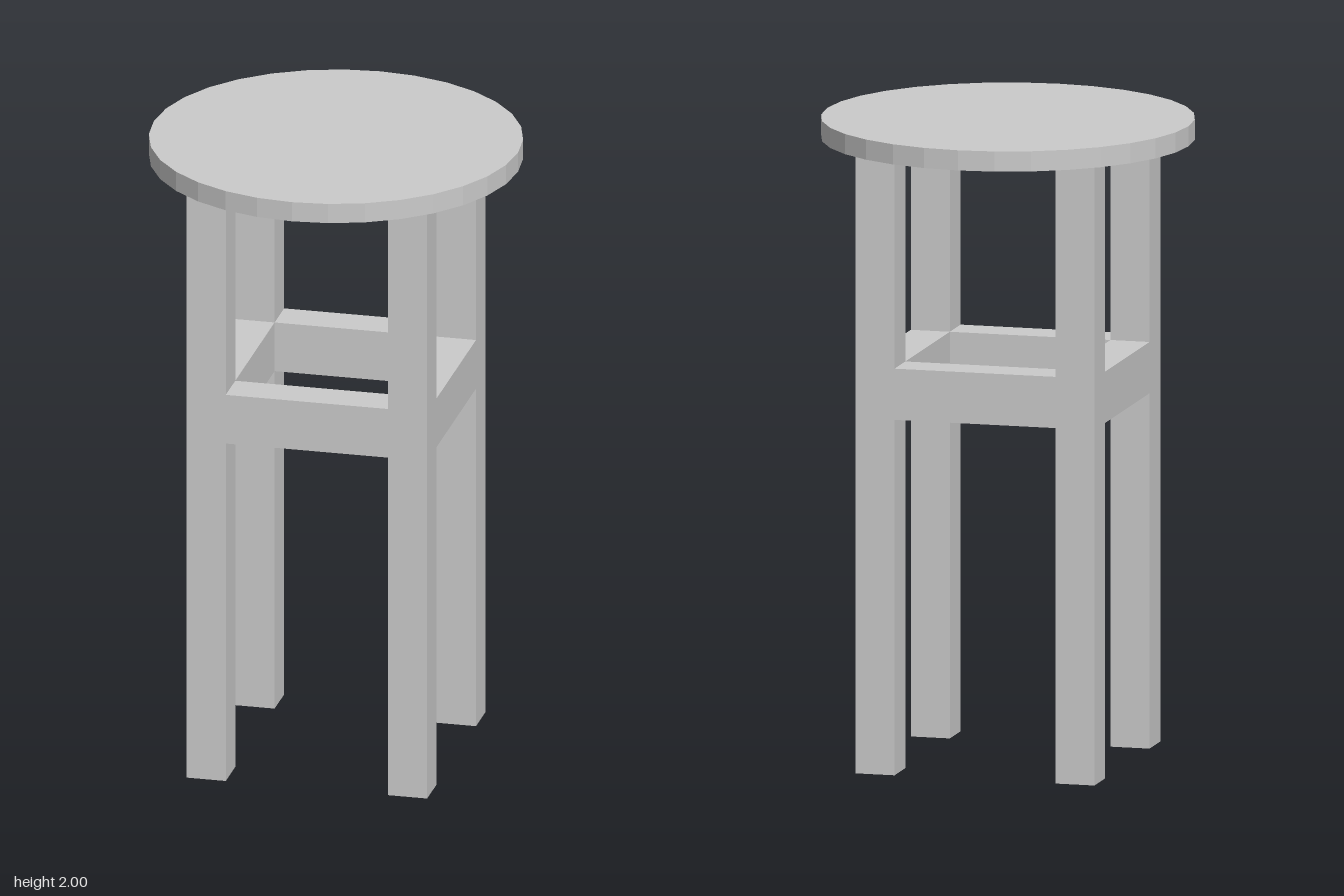
import * as THREE from 'three';

const SEAT_RADIUS = 0.575, SEAT_BOTTOM = 1.937, HEIGHT = 2;
const LEG = 0.124, LEG_POS = 0.318; // leg thickness and centre offset
const RAIL_BOTTOM = 1.11, RAIL_TOP = 1.27;

export function createModel() {
  const group = new THREE.Group();
  const material = new THREE.MeshStandardMaterial({ color: 0xcccccc, flatShading: true });

  const add = (name, geometry, x, y, z) => {
    const mesh = new THREE.Mesh(geometry, material);
    mesh.name = name;
    mesh.position.set(x, y, z);
    group.add(mesh);
    return mesh;
  };

  // Round faceted seat
  const seatHeight = HEIGHT - SEAT_BOTTOM;
  add('seat', new THREE.CylinderGeometry(SEAT_RADIUS, SEAT_RADIUS, seatHeight, 32),
    0, SEAT_BOTTOM + seatHeight / 2, 0);

  // Four square legs
  const legGeometry = new THREE.BoxGeometry(LEG, SEAT_BOTTOM, LEG);
  for (const [zName, sz] of [['front', 1], ['back', -1]]) {
    for (const [xName, sx] of [['Left', 1], ['Right', -1]]) {
      add(`${zName}${xName}Leg`, legGeometry, sx * LEG_POS, SEAT_BOTTOM / 2, sz * LEG_POS);
    }
  }

  // Four rails between the legs, flush with their faces
  const railGeometry = new THREE.BoxGeometry(2 * LEG_POS - LEG, RAIL_TOP - RAIL_BOTTOM, LEG);
  ['front', 'left', 'back', 'right'].forEach((side, i) => {
    const a = i * Math.PI / 2;
    const rail = add(`${side}Rail`, railGeometry,
      Math.sin(a) * LEG_POS, (RAIL_BOTTOM + RAIL_TOP) / 2, Math.cos(a) * LEG_POS);
    rail.rotation.y = a;
  });

  return group;
}
